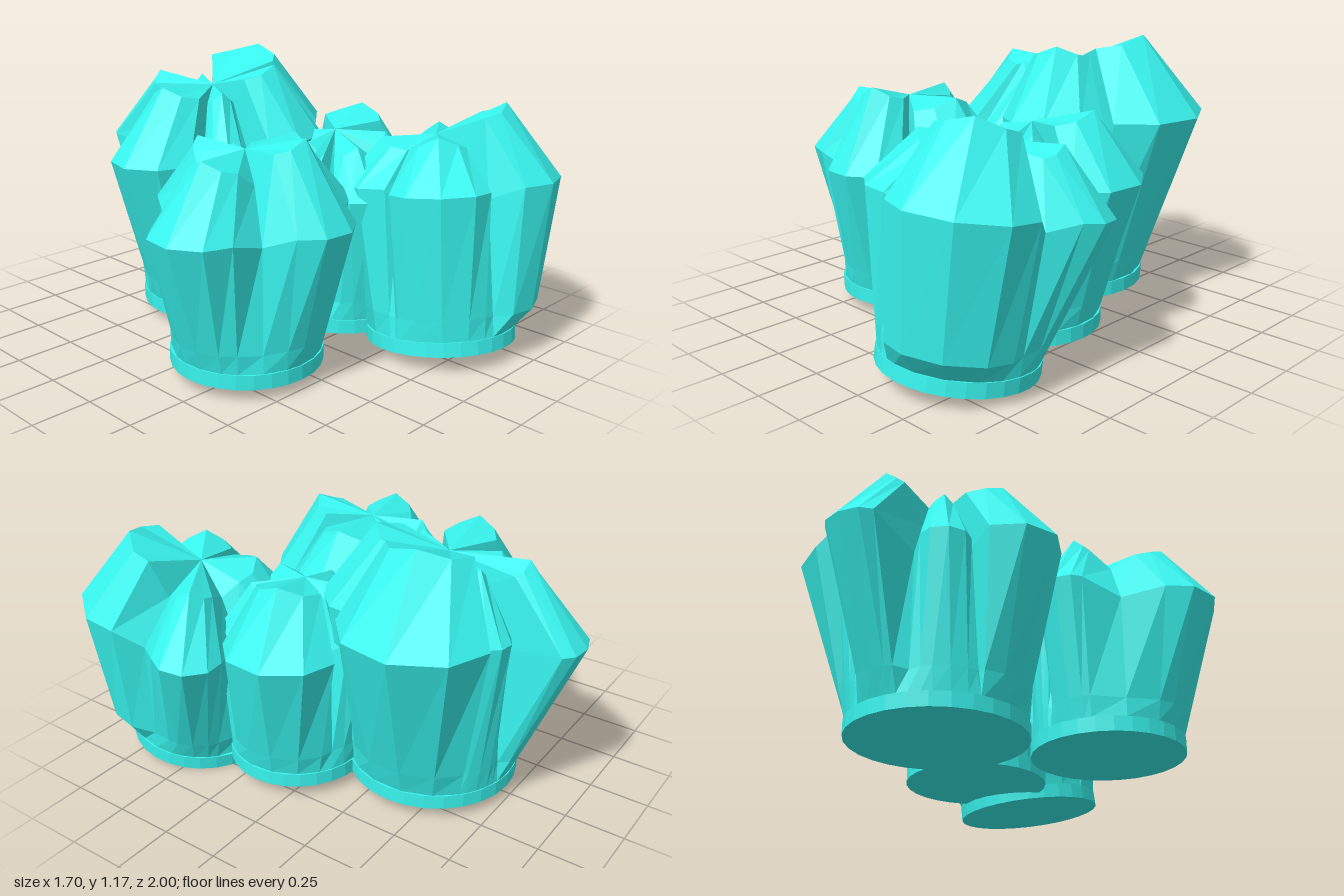
import * as THREE from 'three';

const material = new THREE.MeshStandardMaterial({ color: 0x38f4ee, flatShading: true, side: THREE.DoubleSide });
const FOOT = 0.06;

// Five rim points around the end of one lobe, in polar form.
// round: low gives a blunt end, high a pointed one. skirt: how far it already juts out just above the foot.
function lobeRim([degrees, reach, width, shoulder, peak, round = 0.9, skirt = 0.15]) {
  return [-80, -42, 0, 42, 80].map(d => {
    const s = THREE.MathUtils.degToRad(d);
    const u = reach - round * width * (1 - Math.cos(s));
    const v = width * Math.sin(s);
    return {
      a: THREE.MathUtils.degToRad(degrees) + Math.atan2(v, u),
      r: Math.hypot(u, v),
      shoulder,
      peak: peak - 0.05 * Math.abs(Math.sin(s)),
      skirt,
    };
  });
}

// Whole rim: the lobes with one sunken crease between each pair
function fullRim(lobes) {
  const rims = lobes.map(lobeRim);
  return rims.flatMap((rim, i) => {
    const end = rim[4];
    const next = rims[(i + 1) % rims.length][0];
    const turn = i === rims.length - 1 ? 2 * Math.PI : 0;
    const crease = {
      a: (end.a + next.a + turn) / 2,
      r: 0.8 * Math.min(end.r, next.r),
      shoulder: Math.min(end.shoulder, next.shoulder) - 0.04,
      peak: Math.min(end.peak, next.peak) - 0.06,
      skirt: 0.15,
    };
    return [...rim, crease];
  });
}

// Flat facets through foot, skirt, shoulder, raised inner ring and apex
function lobedBody(lobes, radius, apex, [leanX, leanZ]) {
  const rim = fullRim(lobes);
  const ring = (lean, r, y) => rim.map(p => [
    Math.cos(p.a) * r(p) + leanX * lean, y(p), Math.sin(p.a) * r(p) + leanZ * lean,
  ]);
  const rings = [
    ring(0, () => radius, () => FOOT),
    ring(0.15, p => THREE.MathUtils.lerp(radius, p.r, p.skirt), p => THREE.MathUtils.lerp(FOOT, p.shoulder, 0.15)),
    ring(1, p => p.r, p => p.shoulder),
    ring(1, p => p.r * 0.57, p => p.peak),
    ring(1, () => 0, () => apex),
  ];
  const corners = [];
  for (let k = 0; k < 4; k++) {
    const [low, high] = [rings[k], rings[k + 1]];
    for (let i = 0; i < rim.length; i++) {
      const j = (i + 1) % rim.length;
      corners.push(...low[i], ...high[i], ...low[j]);
      if (k < 3) corners.push(...high[i], ...high[j], ...low[j]);
    }
  }
  const geometry = new THREE.BufferGeometry();
  geometry.setAttribute('position', new THREE.Float32BufferAttribute(corners, 3));
  geometry.computeVertexNormals();
  return geometry;
}

function cluster(name, position, radius, apex, lean, lobes) {
  const group = new THREE.Group();
  group.name = name;
  group.position.set(...position);

  const body = new THREE.Mesh(lobedBody(lobes, radius - 0.005, apex, lean), material);
  body.name = 'lobedBody';

  // Round foot
  const foot = new THREE.Mesh(new THREE.CylinderGeometry(radius, radius, FOOT, 28), material);
  foot.name = 'foot';
  foot.position.y = FOOT / 2;

  group.add(body, foot);
  return group;
}

export function createModel() {
  const model = new THREE.Group();
  model.name = 'crystalClusters';

  // Each lobe: direction in degrees (+x towards +z), reach, half width, shoulder height, peak height, round, skirt
  const back = cluster('backCluster', [0.02, 0.05, -0.38], 0.36, 0.98, [0, -0.04], [
    [-141, 0.39, 0.1, 0.7, 0.95],
    [-96, 0.58, 0.12, 0.7, 1.01, 0.6],
    [-61, 0.4, 0.08, 0.74, 0.99],
    [-10, 0.61, 0.31, 0.79, 1.12],
    [63, 0.5, 0.22, 0.78, 1.08],
    [122, 0.4, 0.1, 0.71, 0.98],
    [172, 0.57, 0.2, 0.71, 1.01, 1.1],
  ]);

  const left = cluster('leftCluster', [-0.37, 0.05, 0.2], 0.31, 0.86, [0, 0], [
    [-98, 0.42, 0.1, 0.62, 0.88, 0.6],
    [-62, 0.33, 0.07, 0.61, 0.84],
    [-2, 0.5, 0.25, 0.61, 0.88],
    [75, 0.46, 0.18, 0.6, 0.93],
    [168, 0.49, 0.19, 0.6, 0.87],
  ]);

  const middle = cluster('middleCluster', [0.28, 0.05, 0.14], 0.3, 0.82, [-0.02, -0.04], [
    [-110, 0.33, 0.15, 0.62, 0.8],
    [-15, 0.47, 0.24, 0.62, 0.89],
    [47, 0.38, 0.1, 0.59, 0.81],
    [115, 0.41, 0.14, 0.6, 0.79],
    [182, 0.29, 0.1, 0.67, 0.79],
  ]);

  // The front cluster leans slightly backwards
  const front = cluster('frontCluster', [0.37, 0.04, 0.62], 0.315, 0.86, [0, 0], [
    [-138, 0.4, 0.2, 0.67, 0.86],
    [-34, 0.51, 0.14, 0.64, 0.88],
    [53, 0.5, 0.27, 0.67, 0.98, 0.75, 0.5],
    [142, 0.42, 0.2, 0.66, 0.87, 0.7],
  ]);
  front.rotation.set(-0.115, 0, -0.05);

  model.add(back, left, middle, front);
  return model;
}
